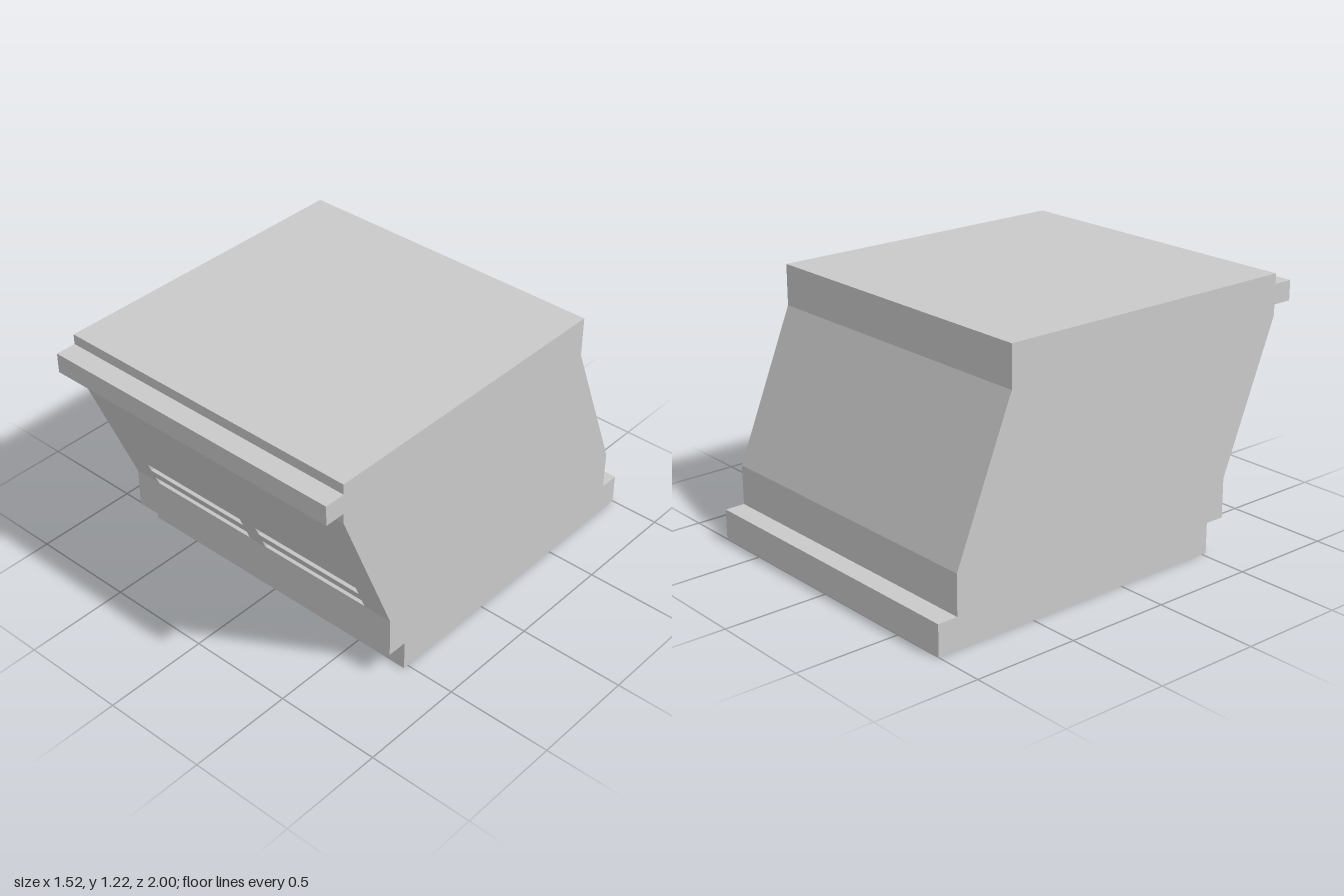
import * as THREE from 'three';

const WIDTH = 1.52, DEPTH = 0.093;
const BOTTOM = [0.62, 0.333], TOP = [0.903, 1.028]; // ends of the slanted front, as z, y
const TILT = Math.atan2(TOP[0] - BOTTOM[0], TOP[1] - BOTTOM[1]);
const SLOPE = Math.hypot(TOP[0] - BOTTOM[0], TOP[1] - BOTTOM[1]);

const toShape = pts => new THREE.Shape(pts.map(([a, b]) => new THREE.Vector2(a, b)));
const rectangle = (x0, y0, x1, y1) => [[x0, y0], [x1, y0], [x1, y1], [x0, y1]];

export function createModel() {
  const model = new THREE.Group();
  model.name = 'console';
  const grey = new THREE.MeshStandardMaterial({ color: 0xc9c9c9 });
  grey.name = 'grey';

  const add = (name, geometry, parent) => {
    const mesh = new THREE.Mesh(geometry, grey);
    mesh.name = name;
    parent.add(mesh);
    return mesh;
  };

  // Cabinet: side profile (z, y) with a bed left for the slanted front panel
  const inward = ([z, y]) => [z - DEPTH * Math.cos(TILT), y + DEPTH * Math.sin(TILT)];
  const profile = toShape([
    [0.524, 0], [0.524, 0.145], [0.62, 0.145],
    BOTTOM, inward(BOTTOM), inward(TOP), TOP,
    [0.903, 1.077], [1, 1.077], [1, 1.17], [0.903, 1.17], [0.903, 1.218],
    [-0.62, 1.218], [-0.62, 1.028], [-0.903, 0.333], [-0.903, 0.145], [-1, 0.145], [-1, 0],
  ]);
  const cabinet = new THREE.ExtrudeGeometry(profile, { depth: WIDTH, bevelEnabled: false });
  cabinet.translate(0, 0, -WIDTH / 2).rotateY(-Math.PI / 2);
  add('cabinet', cabinet, model);

  // Slanted front, with y running up the slope and z pointing out of it
  const front = new THREE.Group();
  front.name = 'slantedFront';
  front.position.set(0, BOTTOM[1], BOTTOM[0]);
  front.rotation.x = TILT;
  model.add(front);

  // Panel with four vent slots cut square to its face
  const panel = toShape(rectangle(-WIDTH / 2, 0, WIDTH / 2, SLOPE));
  for (const [s0, s1] of [[0.002, 0.0485], [0.1015, 0.15]]) {
    for (const [x0, x1] of [[-0.62, -0.047], [0.047, 0.62]]) {
      panel.holes.push(toShape(rectangle(x0, s0, x1, s1)));
    }
  }
  const panelGeometry = new THREE.ExtrudeGeometry(panel, { depth: DEPTH, bevelEnabled: false });
  panelGeometry.translate(0, 0, -DEPTH);
  add('ventPanel', panelGeometry, front);

  // Shallow bulged screen, rim sunk into the panel and shaded flush with it
  const w = 0.8, h = 0.54;
  const screen = new THREE.PlaneGeometry(w, h, 24, 20);
  const p = screen.attributes.position;
  for (let i = 0; i < p.count; i++) {
    const u = p.getX(i) * 2 / w, v = p.getY(i) * 2 / h;
    p.setZ(i, -0.001 + 0.02 * (1 - u ** 4) * (1 - v ** 8));
  }
  add('screen', screen, front).position.y = 0.477;

  return model;
}
